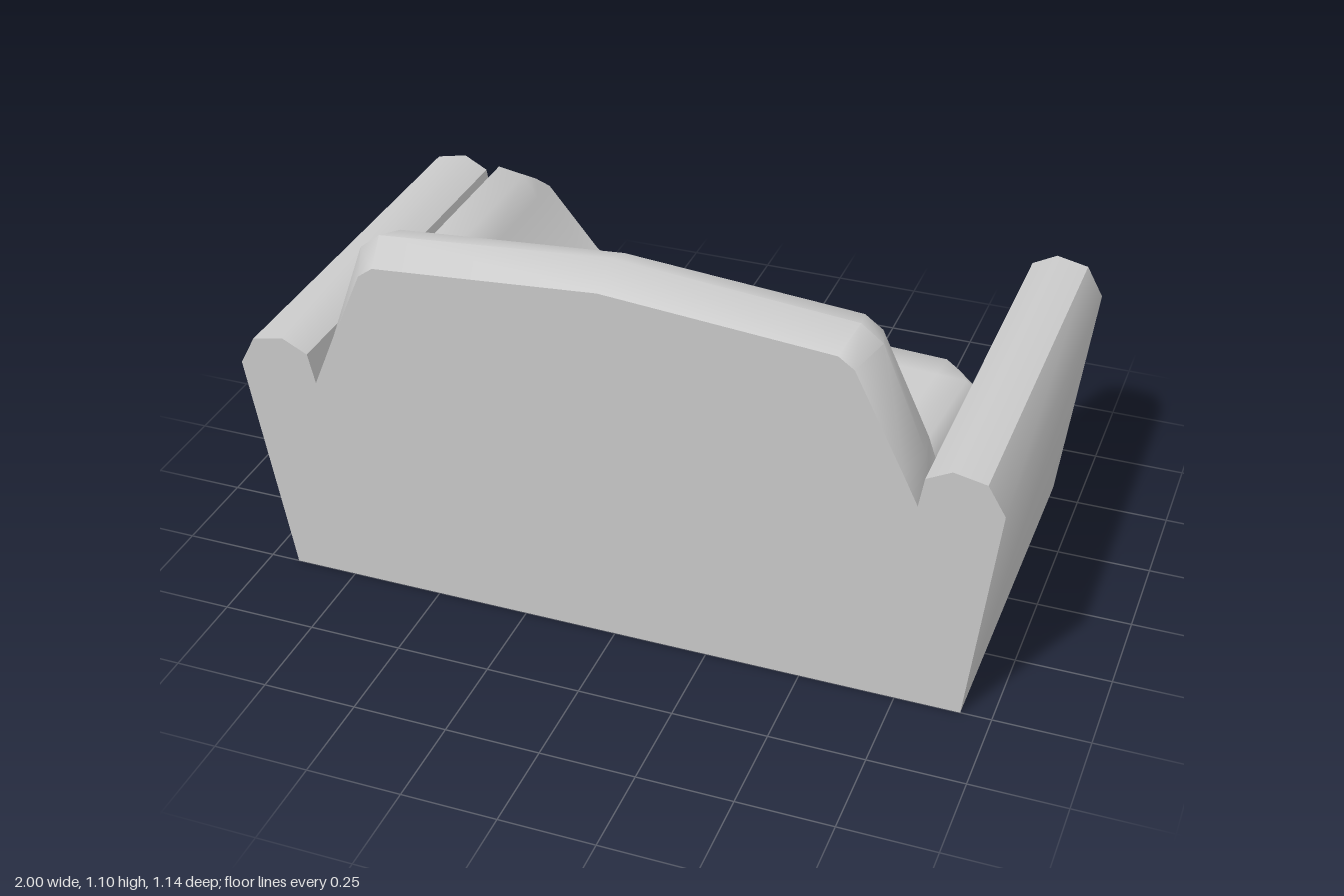
import * as THREE from 'three';
import { toCreasedNormals } from 'three/addons/utils/BufferGeometryUtils.js';

const material = new THREE.MeshStandardMaterial({ color: 0xcccccc, side: THREE.DoubleSide });

// Leaning planes of the rear panel, the backrest ridge and the backrest's seat side
const rearZ = y => 0.5 + 0.0715 * y;
const ridgeZ = y => 0.4 + 0.073 * y;
const innerZ = y => 0.313 + 0.077 * y;
const frontZ = () => -0.55;

// Mirrors half an outline (+x side) into a full one
function mirrored(half) {
  const other = half.filter(p => p[0] > 0).map(([x, y]) => [-x, y]).reverse();
  return [...half, ...other];
}

// Flat panel filling an outline, laid on a plane z(y)
function panel(outline, z, flip = false) {
  const g = new THREE.ShapeGeometry(new THREE.Shape(outline.map(p => new THREE.Vector2(...p))));
  const p = g.attributes.position;
  for (let i = 0; i < p.count; i++) p.setZ(i, z(p.getY(i)));
  if (flip) {
    const a = g.index.array;
    for (let i = 0; i < a.length; i += 3) [a[i], a[i + 1]] = [a[i + 1], a[i]];
  }
  return g.toNonIndexed().attributes.position.array;
}

// Band of quads between two open outlines of equal length
function band(a, za, b, zb) {
  const out = [];
  const at = ([x, y], z) => [x, y, z(y)];
  for (let i = 0; i < a.length - 1; i++) {
    const p = at(a[i], za), q = at(a[i + 1], za), r = at(b[i + 1], zb), s = at(b[i], zb);
    out.push(...p, ...r, ...q, ...p, ...s, ...r);
  }
  return out;
}

function meshFrom(name, pieces, crease) {
  const g = new THREE.BufferGeometry();
  const data = pieces.flatMap(p => Array.from(p));
  g.setAttribute('position', new THREE.Float32BufferAttribute(data, 3));
  const mesh = new THREE.Mesh(toCreasedNormals(g, crease), material);
  mesh.name = name;
  return mesh;
}

// Pillow: box with bevelled rims and cut corners, optionally bent into an arc
function cushion(name, halfW, halfT, halfD, inset, bend) {
  const cut = 0.085;
  const g = new THREE.BoxGeometry(2, 2, 2, 4, 2, 4);
  const p = g.attributes.position;
  const station = (t, half) => Math.abs(t) > 0.9 ? Math.sign(t) * half
    : Math.abs(t) > 0.1 ? Math.sign(t) * (half - cut) : 0;
  for (let i = 0; i < p.count; i++) {
    const u = p.getX(i), v = p.getY(i), w = p.getZ(i);
    const trim = Math.abs(v) > 0.5 ? inset : 0;
    let x = station(u, halfW - trim), z = station(w, halfD - trim);
    if (Math.abs(u) > 0.9 && Math.abs(w) > 0.9) {
      x -= Math.sign(u) * cut * 0.45;
      z -= Math.sign(w) * cut * 0.45;
    }
    let y = v * halfT;
    if (bend) {
      const { angle, k } = bend, th = angle + k * x, h = y;
      x = -(Math.sin(th) - Math.sin(angle)) / k + h * Math.sin(th);
      y = -(Math.cos(th) - Math.cos(angle)) / k + h * Math.cos(th);
    }
    p.setXYZ(i, x, y, z);
  }
  g.deleteAttribute('normal');
  g.deleteAttribute('uv');
  const mesh = new THREE.Mesh(toCreasedNormals(g, 1.1), material);
  mesh.name = name;
  return mesh;
}

export function createModel() {
  const sofa = new THREE.Group();
  sofa.name = 'sofa';

  // Hollow frame: arms and seat in one U section, open underneath
  const section = mirrored([
    [0.92, 0], [1, 0.64], [0.955, 0.722], [0.87, 0.74], [0.805, 0.705], [0.79, 0.62], [0.74, 0.24],
  ]);
  sofa.add(meshFrom('armsAndSeat', [
    band(section, rearZ, section, frontZ),
    panel(section, frontZ, true),
  ], 0.85));

  // Backrest: three outlines give the bevelled, peaked rim
  const foot = [[0.74, 0.24], [0.79, 0.62]];
  const rear = mirrored([...foot, [0.755, 0.7], [0.63, 0.975], [0.59, 1.005], [0, 1.055]]);
  const ridge = mirrored([...foot, [0.78, 0.71], [0.67, 1.0], [0.615, 1.045], [0, 1.1]]);
  const inner = mirrored([...foot, [0.765, 0.7], [0.645, 0.985], [0.6, 1.02], [0, 1.07]]);
  const rim = o => o.slice(1, -1);
  sofa.add(meshFrom('backrest', [
    panel(rear, rearZ),
    panel(section, rearZ),
    band(rim(rear), rearZ, rim(ridge), ridgeZ),
    band(rim(ridge), ridgeZ, rim(inner), innerZ),
    panel(inner, innerZ, true),
  ], 0.85));

  // Loose cushions: one lying flat, one slumped against the arm
  const flat = cushion('flatCushion', 0.352, 0.085, 0.425, 0.05);
  flat.position.set(0.36, 0.312, -0.125);
  flat.rotation.y = -0.073;
  const leaning = cushion('leaningCushion', 0.365, 0.085, 0.44, 0.04, { angle: Math.PI / 4, k: 0.8 });
  leaning.position.set(-0.51, 0.475, -0.115);
  sofa.add(flat, leaning);

  return sofa;
}
